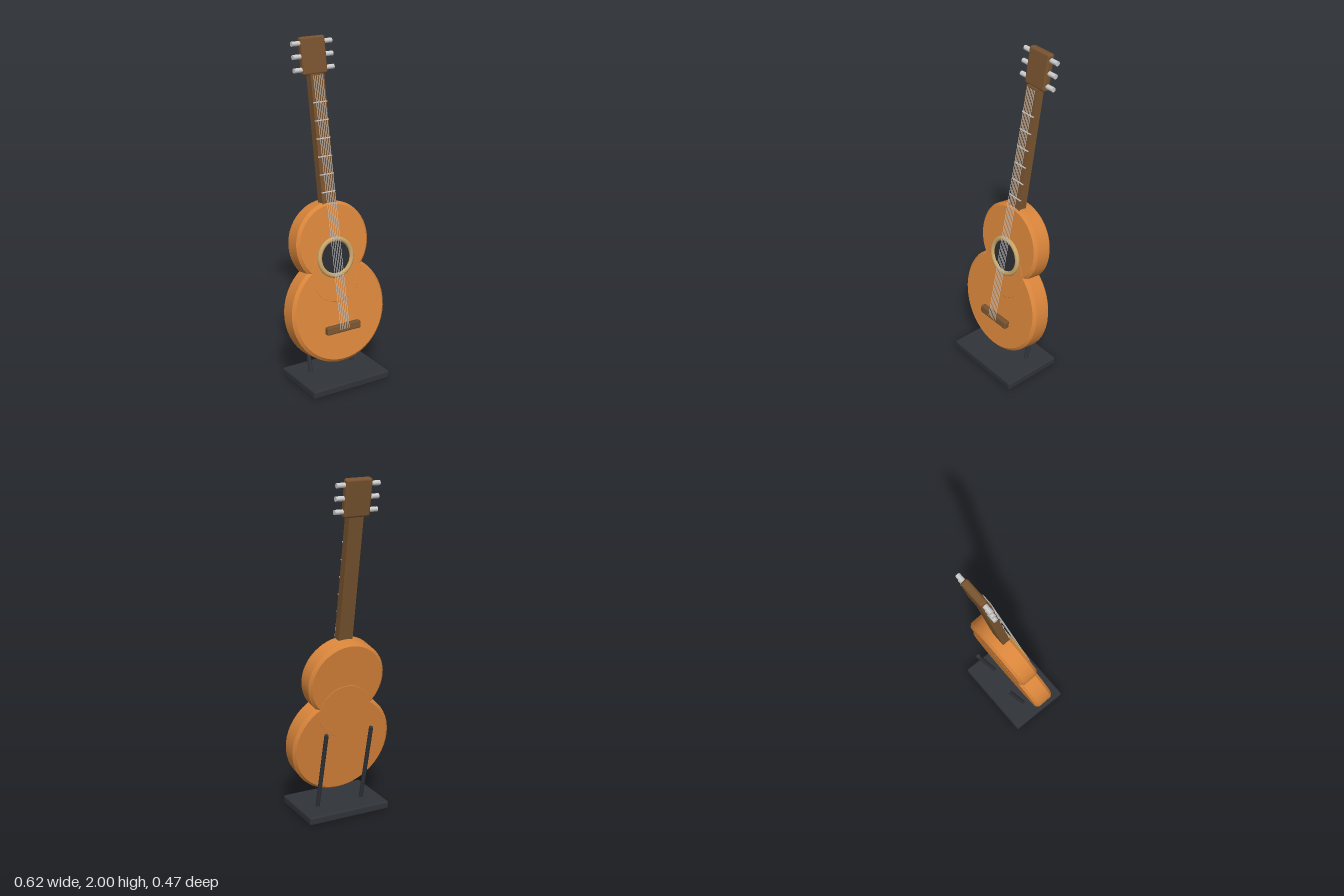
import * as THREE from 'three';
import { toCreasedNormals } from 'three/addons/utils/BufferGeometryUtils.js';
import { RoundedBoxGeometry } from 'three/addons/geometries/RoundedBoxGeometry.js';

const paint = (color) => new THREE.MeshStandardMaterial({ color });
const orange = paint(0xd9853b);
const brown = paint(0x78532f);
const tan = paint(0xc8a468);
const dark = paint(0x2b2c31);
const black = paint(0x303338);
const steel = paint(0xcccccc);

function add(parent, name, geometry, material, x = 0, y = 0, z = 0) {
  const mesh = new THREE.Mesh(geometry, material);
  mesh.name = name;
  mesh.position.set(x, y, z);
  parent.add(mesh);
  return mesh;
}

// Round rod between two points
function rod(parent, name, a, b, radius, material, sides = 16) {
  const start = new THREE.Vector3(...a);
  const dir = new THREE.Vector3(...b).sub(start);
  const length = dir.length();
  const mesh = add(parent, name, new THREE.CylinderGeometry(radius, radius, length, sides), material);
  mesh.position.copy(start).addScaledVector(dir, 0.5);
  mesh.quaternion.setFromUnitVectors(new THREE.Vector3(0, 1, 0), dir.normalize());
  return mesh;
}

// Thick disc with chamfered rims, its flat sides facing front and back
function bout(radius, depth, chamfer = 0.017) {
  const h = depth / 2;
  const profile = [
    [0, -h], [radius - chamfer, -h], [radius, -h + chamfer],
    [radius, h - chamfer], [radius - chamfer, h], [0, h],
  ].map(([x, y]) => new THREE.Vector2(x, y));
  return toCreasedNormals(new THREE.LatheGeometry(profile, 48).rotateX(Math.PI / 2), 0.5);
}

export function createModel() {
  const model = new THREE.Group();

  // Guitar leaning back; local origin is the centre of the lower bout
  const guitar = new THREE.Group();
  guitar.name = 'guitar';
  guitar.position.set(0, 0.44, 0.035);
  guitar.rotation.x = -0.17;
  model.add(guitar);

  // Body
  add(guitar, 'lowerBout', bout(0.311, 0.125), orange);
  add(guitar, 'upperBout', bout(0.239, 0.124), orange, 0, 0.402, 0);
  add(guitar, 'waist', bout(0.168, 0.127, 0.006), orange, 0, 0.214, 0);

  // Sound hole and its ring
  const hole = new THREE.CylinderGeometry(0.102, 0.102, 0.01, 48).rotateX(Math.PI / 2);
  add(guitar, 'soundHole', hole, dark, 0, 0.316, 0.063);
  add(guitar, 'soundHoleRing', new THREE.TorusGeometry(0.107, 0.014, 12, 48), tan, 0, 0.316, 0.068);

  // Bridge, neck and headstock
  add(guitar, 'bridge', new RoundedBoxGeometry(0.226, 0.046, 0.035, 2, 0.008), brown, 0, -0.103, 0.079);
  add(guitar, 'neck', new THREE.BoxGeometry(0.088, 0.785, 0.05), brown, 0, 0.973, 0.027);
  add(guitar, 'headstock', new RoundedBoxGeometry(0.16, 0.215, 0.045, 2, 0.014), brown, 0, 1.468, 0.017);

  // Frets
  for (let i = 0; i < 6; i++) {
    add(guitar, 'fret', new THREE.BoxGeometry(0.09, 0.006, 0.008), steel, 0, 0.696 + i * 0.1025, 0.053);
  }

  // Strings
  for (let i = 0; i < 6; i++) {
    const x = (i - 2.5) * 0.0115;
    rod(guitar, 'string', [x, -0.107, 0.101], [x, 1.358, 0.057], 0.0018, steel, 6);
  }

  // Tuning pegs on both sides
  for (const side of [-1, 1]) {
    for (const y of [1.394, 1.468, 1.541]) {
      rod(guitar, 'tuningPeg', [side * 0.06, y, 0.017], [side * 0.13, y, 0.017], 0.014, steel);
    }
  }

  // Stand: base plate with two leaning rods
  const stand = new THREE.Group();
  stand.name = 'stand';
  model.add(stand);
  add(stand, 'standBase', new RoundedBoxGeometry(0.52, 0.05, 0.371, 2, 0.012), black, 0, 0.025, 0.0525);
  for (const side of [-1, 1]) {
    rod(stand, 'standRod', [side * 0.145, 0.03, 0.01], [side * 0.145, 0.535, -0.115], 0.0125, black);
  }

  return model;
}
